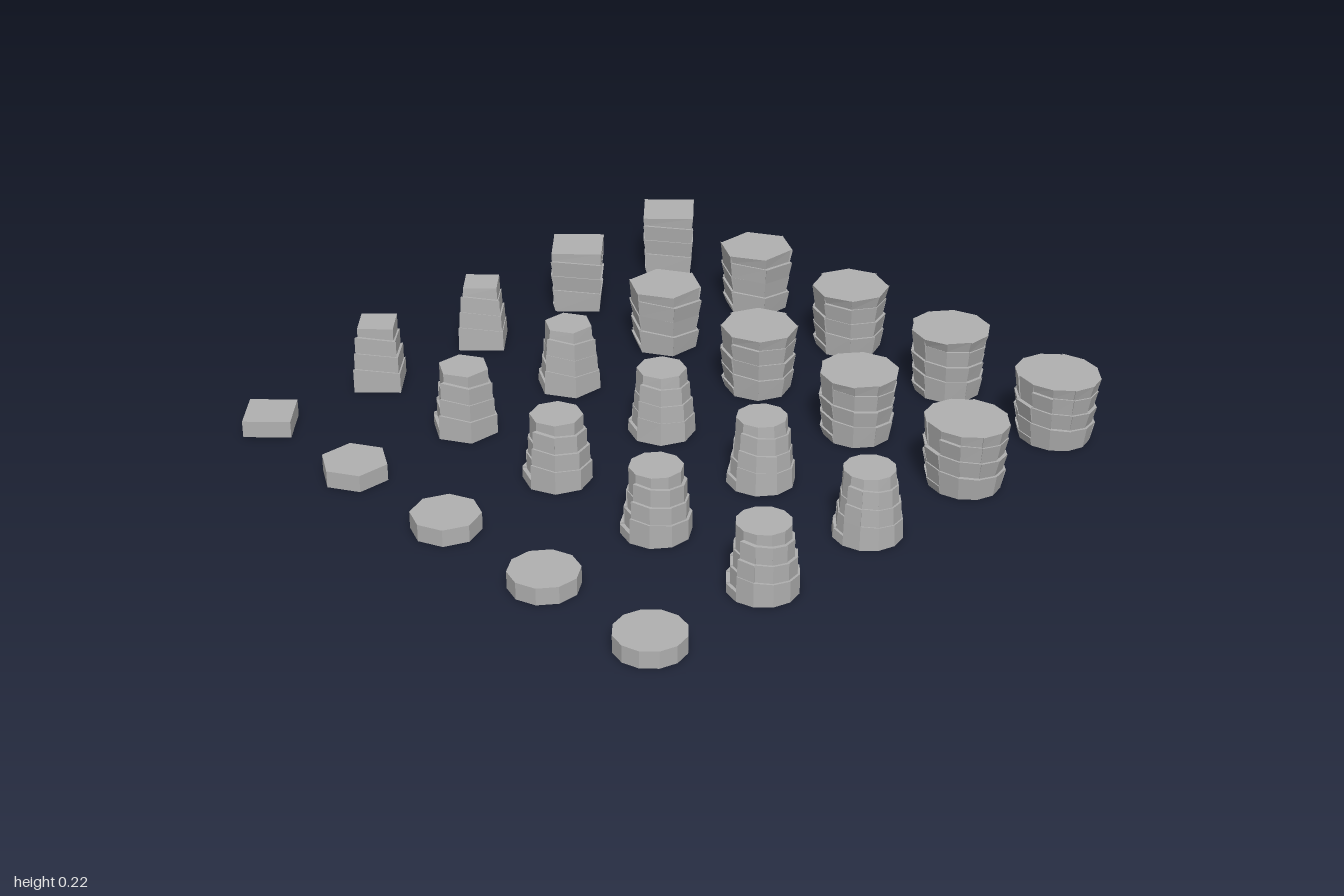
import * as THREE from 'three';

const stone = new THREE.MeshStandardMaterial({ color: 0xb0b0b0 });
stone.name = 'grey stone';

const BASE = 0.107, LAYER = 0.055, TOP = 0.22, TURN = Math.PI * 2;

// Small repeatable variation between -1 and 1
const vary = (n, i, k) => {
  const s = Math.sin(n * 12.9898 + i * 78.233 + k * 37.719) * 43758.5453;
  return (s - Math.floor(s)) * 2 - 1;
};

// Sector block from the axis to one face; each end may slope between its corners
function addWedge(out, a, b, y0a, y0b, y1a, y1b, r0, r1, sx) {
  const p = (t, r, y) => [Math.sin(t) * r * sx, y, Math.cos(t) * r];
  const c0 = [0, (y0a + y0b) / 2, 0], c1 = [0, (y1a + y1b) / 2, 0];
  const a0 = p(a, r0, y0a), b0 = p(b, r0, y0b), a1 = p(a, r1, y1a), b1 = p(b, r1, y1b);
  const quad = (q, r, s, t) => out.push(...q, ...r, ...s, ...q, ...s, ...t);
  quad(a0, b0, b1, a1);
  quad(c0, a0, a1, c1);
  quad(b0, c0, c1, b1);
  out.push(...c1, ...a1, ...b1, ...c0, ...b0, ...a0);
}

// Height of the spiral seam above layer k, falling as it goes round
const seam = (k, t) => k === 0 ? 0 : k === 4 ? TOP : LAYER * (k + 0.5 - t / TURN);

// Pillar of four spiral layers, with a radius rule for every block
function pillarGeometry(n, sx, radii) {
  const out = [];
  for (let i = 0; i < n; i++) {
    const a = (i / n) * TURN, b = ((i + 1) / n) * TURN, mid = (a + b) / 2;
    const sloped = mid < Math.PI;
    const [ta, tb] = sloped ? [a, b] : [mid, mid];
    for (let k = 0; k < 4; k++) {
      const [r0, r1] = radii(i, k, mid / TURN);
      addWedge(out, a, b, seam(k, ta), seam(k, tb), seam(k + 1, ta), seam(k + 1, tb), r0, r1, sx);
    }
  }
  const geo = new THREE.BufferGeometry();
  geo.setAttribute('position', new THREE.Float32BufferAttribute(out, 3));
  geo.computeVertexNormals();
  return geo;
}

// Stepped pillar that narrows upward
const narrowing = (n, lean) => pillarGeometry(n, 1, (i, k, f) => {
  const turns = k === 0 ? 0 : k === 3 ? 3 : k + f - 0.5;
  const r = BASE - 0.0085 * turns + (k === 1 || k === 2 ? 0.002 * vary(n, i, k) : 0);
  return [r, r - lean];
});

// Pillar of overhanging layers that widen upward
const widening = (n, sx, topR) => pillarGeometry(n, sx, (i, k) => {
  const r0 = BASE + 0.003 * k + (k ? 0.003 * vary(n, i, k) : 0);
  const r1 = k === 3 ? topR + 0.004 * vary(n, i, 3) : r0 + 0.01 + 0.003 * vary(n, i, k + 5);
  return [r0, r1];
});

// Plain low slab with the pillar's outline
function slabGeometry(n) {
  const geo = new THREE.CylinderGeometry(BASE, BASE, LAYER, n).toNonIndexed();
  geo.translate(0, LAYER / 2, 0);
  geo.computeVertexNormals();
  return geo;
}

export function createModel() {
  const group = new THREE.Group();
  group.name = 'pillarGrid';

  // Columns gain two sides each, rows change the pillar type
  const tops = [0.119, 0.122, 0.125, 0.126, 0.122];
  tops.forEach((topR, c) => {
    const n = 4 + 2 * c, x = -0.88 + 0.436 * c;
    const sx = n === 12 ? 1.09 : 1;
    const rows = [
      ['slab', slabGeometry(n), 0.883],
      ['steppedPillar', narrowing(n, 0), 0.446],
      ['taperedPillar', narrowing(n, 0.003), 0.008],
      ['flaredPillar', widening(n, sx, topR), -0.425],
      ['wideFlaredPillar', widening(n, sx, topR + 0.003), -0.86],
    ];
    for (const [name, geo, z] of rows) {
      const mesh = new THREE.Mesh(geo, stone);
      mesh.name = `${name}${n}Sides`;
      mesh.position.set(x, 0, z);
      group.add(mesh);
    }
  });
  return group;
}
